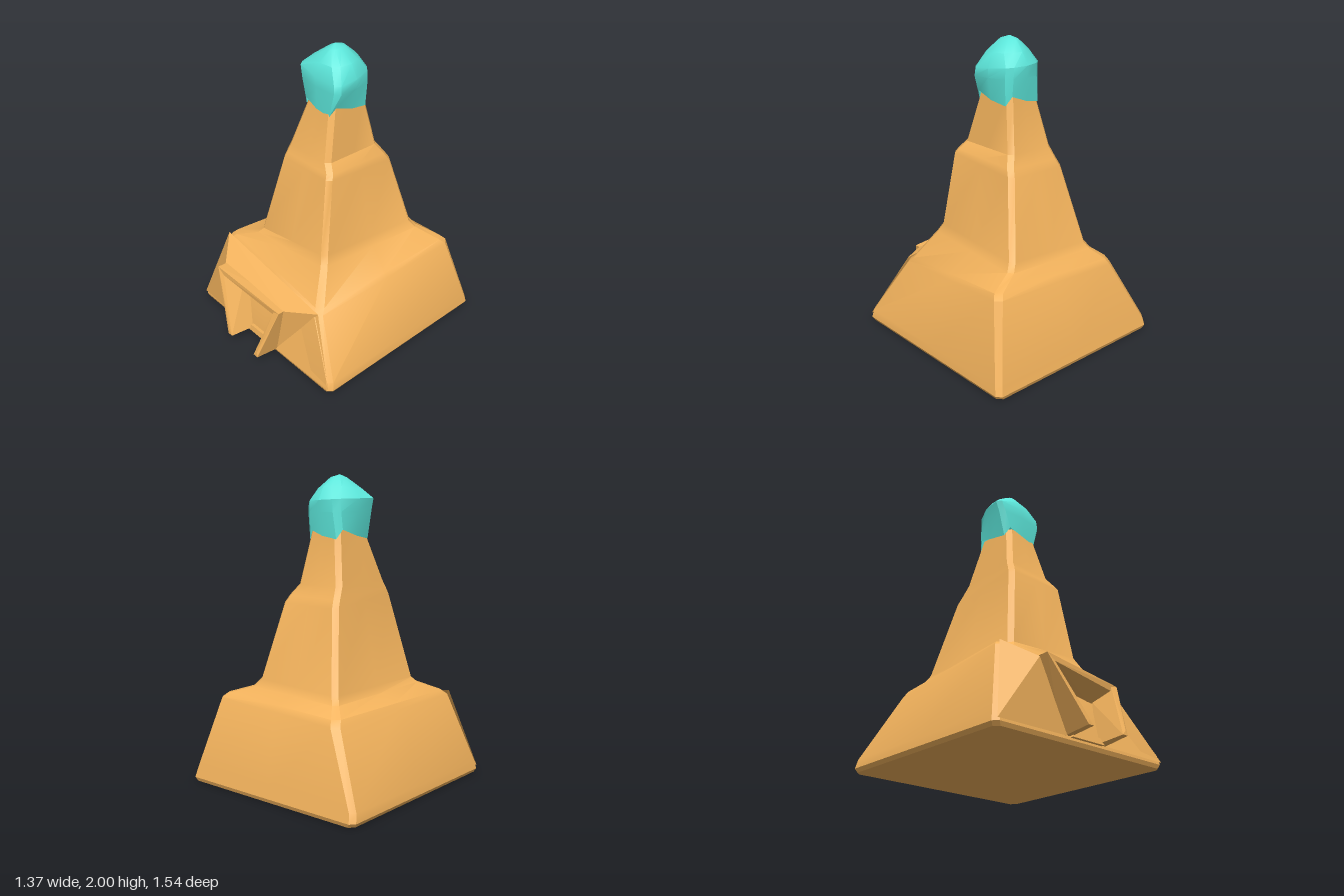
import * as THREE from 'three';
import { toCreasedNormals } from 'three/addons/utils/BufferGeometryUtils.js';
import { ConvexGeometry } from 'three/addons/geometries/ConvexGeometry.js';

const sand = new THREE.MeshStandardMaterial({ color: 0xf2b25c });
const teal = new THREE.MeshStandardMaterial({ color: 0x5ce6da });

function fromTriangles(points, crease = 0.4) {
  const g = new THREE.BufferGeometry();
  g.setAttribute('position', new THREE.Float32BufferAttribute(points.flat(), 3));
  return toCreasedNormals(g, crease);
}

// Four corners (front -x, front +x, back +x, back -x) become a ring with
// bevelled corners and a midpoint on each edge, pushed out by bulge.
function ring(corners, bevel, bulge = 0, jag = 0) {
  const pts = [];
  const v = corners.map(c => new THREE.Vector3(...c));
  v.forEach((c, i) => {
    const prev = v[(i + 3) % 4], next = v[(i + 1) % 4];
    const a = c.clone().add(prev.clone().sub(c).setLength(bevel));
    const b = c.clone().add(next.clone().sub(c).setLength(bevel));
    const m = c.clone().add(next).multiplyScalar(0.5);
    const out = new THREE.Vector3(c.z - next.z, 0, next.x - c.x).normalize();
    m.addScaledVector(out, bulge);
    a.y -= jag;
    b.y += jag;
    m.y -= jag * 0.3;
    pts.push(a, b, m);
  });
  return pts.map(p => p.toArray());
}

function box(y, x0, x1, z0, z1) {
  return [[x0, y, z1], [x1, y, z1], [x1, y, z0], [x0, y, z0]];
}

function loft(rings, topPoint, bottomPoint, crease) {
  const tri = [], n = rings[0].length, last = rings[rings.length - 1];
  for (let i = 0; i < n; i++) {
    const j = (i + 1) % n;
    for (let k = 0; k < rings.length - 1; k++) {
      const lo = rings[k], hi = rings[k + 1];
      tri.push(lo[i], lo[j], hi[j], lo[i], hi[j], hi[i]);
    }
    tri.push(last[i], last[j], topPoint);
    if (bottomPoint) tri.push(rings[0][j], rings[0][i], bottomPoint);
  }
  return fromTriangles(tri, crease);
}

export function createModel() {
  const model = new THREE.Group();
  const add = (name, geometry, material) => {
    const mesh = new THREE.Mesh(geometry, material);
    mesh.name = name;
    model.add(mesh);
    return mesh;
  };

  // Stepped mound: wide base, sloping shoulder, waist, upper ledge, neck
  add('mound', loft([
    ring(box(0, -0.67, 0.67, -0.76, 0.59), 0.03),
    ring(box(0.025, -0.685, 0.685, -0.77, 0.60), 0.03),
    ring(box(0.08, -0.675, 0.675, -0.755, 0.59), 0.03),
    ring([[-0.54, 0.55, 0.46], [0.44, 0.42, 0.48], [0.57, 0.56, -0.63], [-0.45, 0.51, -0.64]], 0.04),
    ring([[-0.51, 0.58, 0.43], [0.42, 0.45, 0.45], [0.54, 0.59, -0.60], [-0.43, 0.55, -0.61]], 0.04),
    ring([[-0.36, 0.625, 0.35], [0.31, 0.66, 0.31], [0.37, 0.64, -0.52], [-0.36, 0.61, -0.53]], 0.03),
    ring([[-0.33, 0.66, 0.32], [0.28, 0.72, 0.28], [0.33, 0.69, -0.49], [-0.33, 0.66, -0.50]], 0.03),
    ring([[-0.22, 1.23, 0.205], [0.235, 1.23, 0.20], [0.23, 1.18, -0.37], [-0.225, 1.17, -0.37]], 0.03),
    ring([[-0.21, 1.27, 0.19], [0.22, 1.26, 0.18], [0.21, 1.23, -0.34], [-0.21, 1.22, -0.34]], 0.03),
    ring([[-0.20, 1.32, 0.165], [0.17, 1.31, 0.15], [0.165, 1.30, -0.295], [-0.19, 1.30, -0.295]], 0.03),
    ring(box(1.65, -0.12, 0.115, -0.225, 0.065), 0.03),
  ], [0, 1.66, -0.08], [0, 0, -0.08], 0.5), sand);

  // Lopsided cap with a jagged lower rim
  const cap = add('cap', loft([
    ring(box(1.62, -0.145, 0.13, -0.235, 0.075), 0.03, 0.01, 0.03),
    ring([[-0.19, 1.77, 0.07], [0.175, 1.75, 0.075], [0.135, 1.76, -0.245], [-0.13, 1.76, -0.245]], 0.035, 0.015),
    ring([[-0.215, 1.85, 0.06], [0.17, 1.80, 0.07], [0.13, 1.83, -0.245], [-0.125, 1.84, -0.245]], 0.035, 0.02),
    ring([[-0.15, 1.91, 0.025], [0.115, 1.90, 0.035], [0.10, 1.91, -0.20], [-0.09, 1.92, -0.20]], 0.04, 0.02),
    ring([[-0.05, 1.98, -0.03], [0.03, 1.98, -0.02], [0.03, 1.98, -0.14], [-0.05, 1.98, -0.14]], 0.02, 0.005),
  ], [-0.015, 2, -0.08], null, 0.5), teal);
  cap.material.side = THREE.DoubleSide;

  // Sloping apron that joins the mound to the doorway
  const wall = [[-0.67, 0.04, 0.60], [-0.53, 0.57, 0.45], [0.43, 0.44, 0.47], [0.67, 0.04, 0.60]];
  const door = [[-0.16, 0.04, 0.61], [-0.37, 0.46, 0.61], [0.24, 0.42, 0.60], [0.15, 0.04, 0.61]];
  const apron = [];
  for (let i = 0; i < 3; i++) {
    apron.push(wall[i], door[i], door[i + 1], wall[i], door[i + 1], wall[i + 1]);
  }
  add('doorApron', fromTriangles(apron, 0.1), sand.clone()).material.side = THREE.DoubleSide;

  // Crooked door frame: each bar is a hull around its corners
  const bars = {
    doorPostRight: [
      [-0.37, 0.47, 0.67], [-0.31, 0.43, 0.67], [-0.16, 0.07, 0.77], [-0.12, 0.07, 0.77],
      [-0.155, 0.10, 0.765], [-0.37, 0.46, 0.52], [-0.265, 0.39, 0.52], [-0.17, 0.04, 0.57], [-0.11, 0.05, 0.57]],
    doorPostLeft: [
      [0.24, 0.42, 0.64], [0.19, 0.41, 0.64], [0.16, 0.07, 0.77], [0.12, 0.07, 0.77],
      [0.15, 0.10, 0.765], [0.24, 0.42, 0.52], [0.15, 0.33, 0.52], [0.16, 0.04, 0.57], [0.11, 0.05, 0.57]],
    lintel: [
      [-0.37, 0.47, 0.67], [0.24, 0.42, 0.64], [-0.31, 0.43, 0.67], [0.19, 0.38, 0.64],
      [-0.37, 0.46, 0.50], [0.24, 0.42, 0.50], [-0.265, 0.39, 0.50], [0.15, 0.32, 0.50]],
    doorSill: [
      [-0.13, 0.04, 0.62], [0.13, 0.04, 0.62], [-0.11, 0.08, 0.61], [0.11, 0.08, 0.61],
      [-0.13, 0.04, 0.54], [0.13, 0.04, 0.54], [-0.11, 0.08, 0.54], [0.11, 0.08, 0.54]],
  };
  for (const [name, pts] of Object.entries(bars)) {
    add(name, new ConvexGeometry(pts.map(p => new THREE.Vector3(...p))), sand);
  }
  return model;
}
